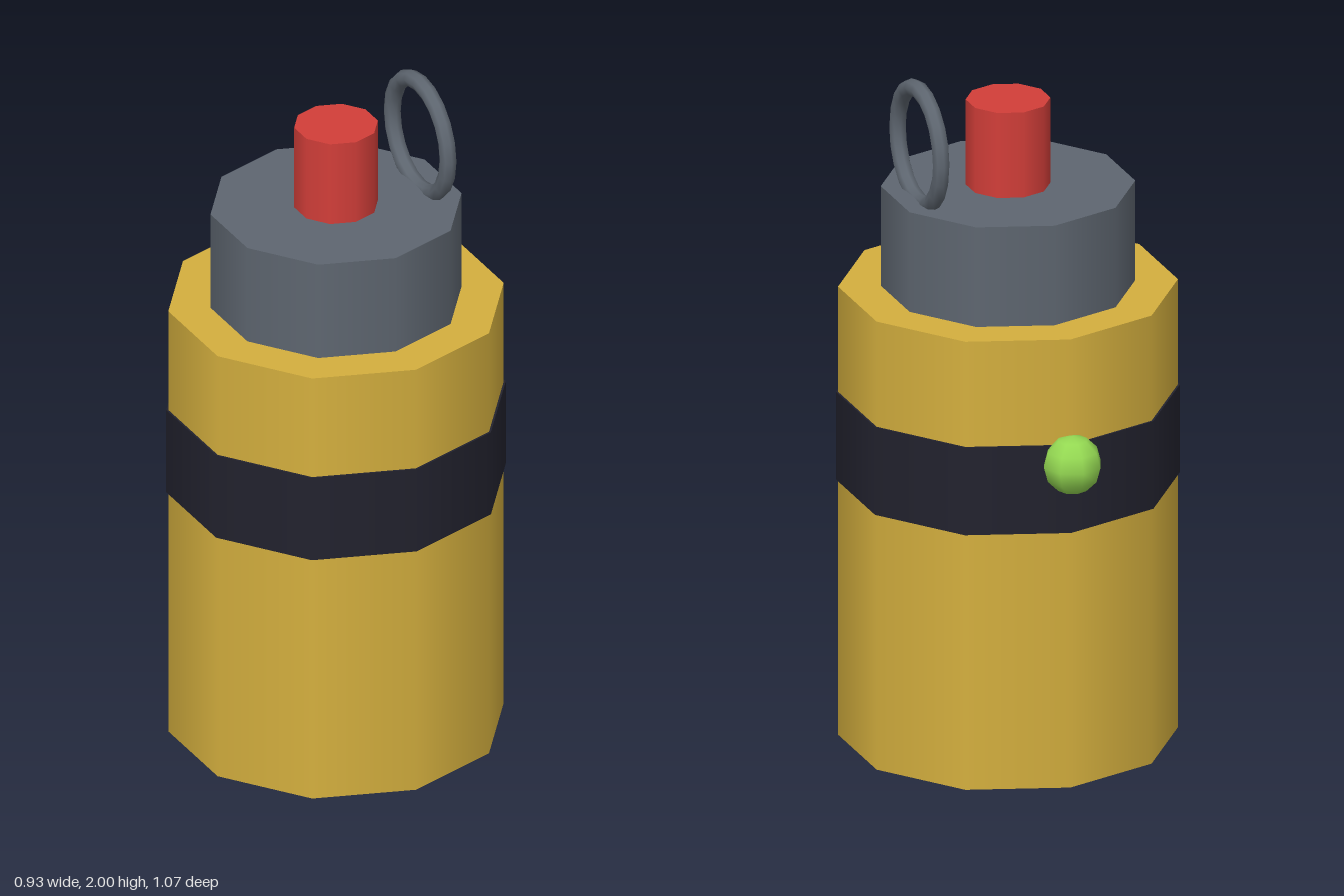
import * as THREE from 'three';

const material = (name, color) => {
  const m = new THREE.MeshStandardMaterial({ color });
  m.name = name;
  return m;
};

export function createModel() {
  const yellow = material('yellow', 0xd4af3e);
  const black = material('black', 0x22222e);
  const grey = material('grey', 0x5e6670);
  const red = material('red', 0xd23e39);
  const green = material('green', 0x94d852);

  const group = new THREE.Group();
  group.name = 'canister';
  const axisZ = 0.046; // the light on the back shifts the main axis forward

  const add = (name, geometry, mat, x, y, z) => {
    const mesh = new THREE.Mesh(geometry, mat);
    mesh.name = name;
    mesh.position.set(x, y, z);
    group.add(mesh);
    return mesh;
  };
  // Ten-sided cylinder between two heights on the main axis
  const drum = (name, radius, y0, y1, mat) =>
    add(name, new THREE.CylinderGeometry(radius, radius, y1 - y0, 10), mat, 0, (y0 + y1) / 2, axisZ);

  drum('body', 0.481, 0, 1.355, yellow);
  drum('band', 0.487, 0.772, 1.037, black);
  drum('cap', 0.36, 1.355, 1.656, grey);
  drum('button', 0.12, 1.656, 1.913, red);

  // Pull ring standing on the left edge of the cap
  const ring = add('pullRing', new THREE.TorusGeometry(0.168, 0.025, 8, 20), grey, 0.269, 1.807, axisZ);
  ring.rotation.y = Math.PI / 2;

  // Small light on the back of the band
  add('light', new THREE.SphereGeometry(0.086, 8, 6), green, 0, 0.983, -0.45);

  return group;
}
